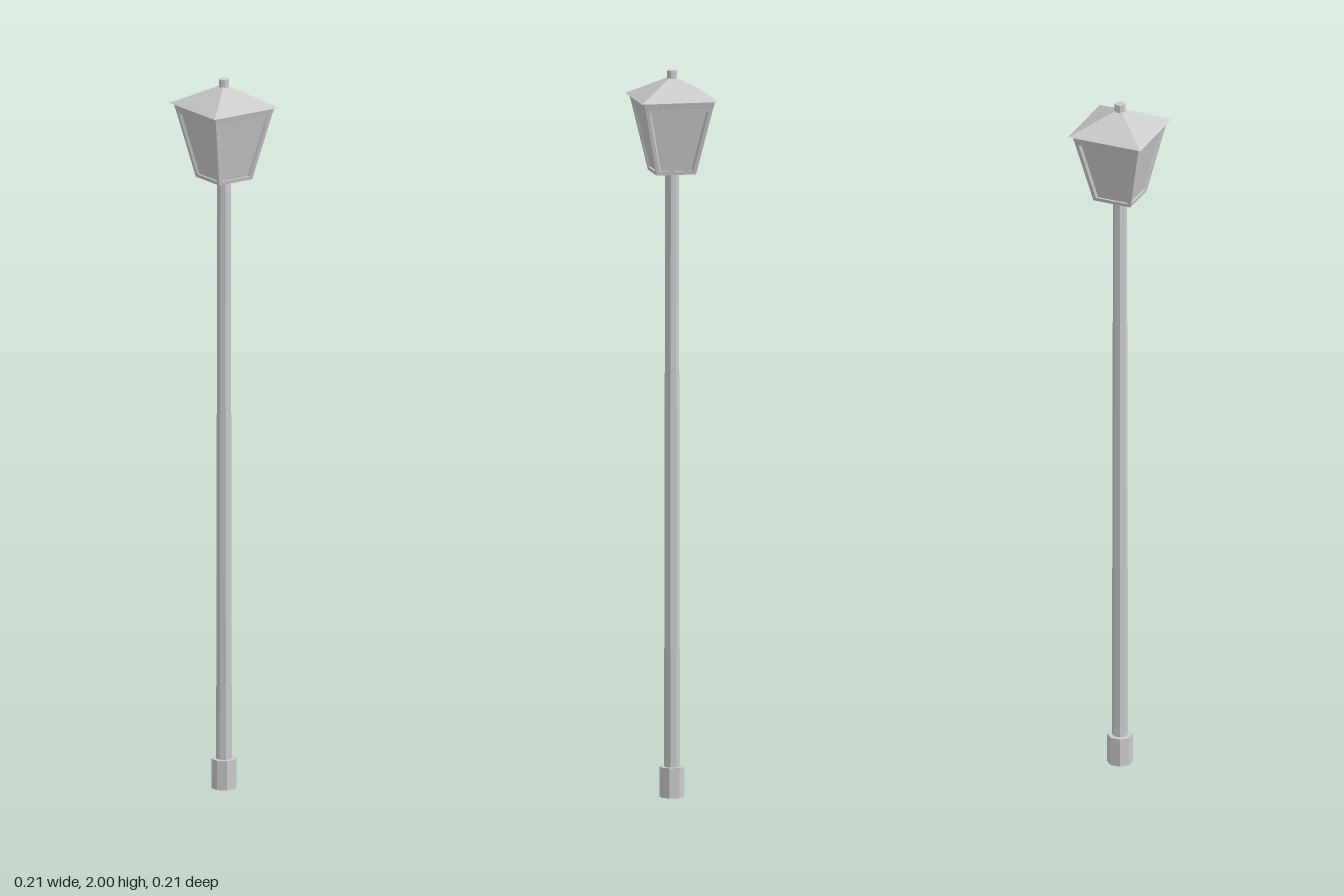
import * as THREE from 'three';

export function createModel() {
  const model = new THREE.Group();
  const grey = new THREE.MeshStandardMaterial({ color: 0xcccccc, flatShading: true });

  const add = (name, geometry, y = 0) => {
    const mesh = new THREE.Mesh(geometry, grey);
    mesh.name = name;
    mesh.position.y = y;
    model.add(mesh);
    return mesh;
  };

  // Solid of revolution-like section from y0 to y1, flats facing the axes
  const section = (name, r0, r1, y0, y1, sides = 8) => {
    const g = new THREE.CylinderGeometry(r1, r0, y1 - y0, sides);
    g.rotateY(Math.PI / sides);
    return add(name, g, (y0 + y1) / 2);
  };

  // Square section given by half widths
  const square = (name, h0, h1, y0, y1) =>
    section(name, h0 * Math.SQRT2, h1 * Math.SQRT2, y0, y1, 4);

  // Octagonal foot and slightly tapered post
  section('base', 0.035, 0.035, 0, 0.083);
  section('post', 0.022, 0.019, 0.083, 1.732);

  // Lantern body: half width grows linearly with height
  const y0 = 1.72, y1 = 1.906, h0 = 0.055, h1 = 0.094;
  const half = (y) => h0 + ((h1 - h0) * (y - y0)) / (y1 - y0);
  const inset = 0.006;
  const yFloor = y0 + 0.006;
  square('lanternPanes', half(yFloor) - inset, h1 - inset, yFloor, y1);

  // Trapezoid frame with a window, leaned outward and mitred at the corners
  const trapezoid = (Type, bottom, top, border) => new Type([
    new THREE.Vector2(-half(bottom) + border, bottom),
    new THREE.Vector2(half(bottom) - border, bottom),
    new THREE.Vector2(half(top) - border, top),
    new THREE.Vector2(-half(top) + border, top),
  ]);
  const outline = trapezoid(THREE.Shape, y0, y1, 0);
  outline.holes.push(trapezoid(THREE.Path, y0 + 0.01, y1 - 0.008, 0.01));
  const depth = 0.009;
  const frame = new THREE.ExtrudeGeometry(outline, { depth, bevelEnabled: false });
  const p = frame.attributes.position;
  for (let i = 0; i < p.count; i++) {
    const h = half(p.getY(i));
    const z = h + p.getZ(i) - depth;
    p.setX(i, (p.getX(i) * z) / h);
    p.setZ(i, z);
  }
  frame.computeVertexNormals();
  ['front', 'left', 'back', 'right'].forEach((side, i) => {
    add(side + 'LanternFrame', frame).rotation.y = (i * Math.PI) / 2;
  });

  // Rim, overhanging pyramid roof and finial
  square('roofRim', 0.094, 0.099, y1, 1.925);
  square('roof', 0.107, 0.006, 1.925, 1.982);
  section('finial', 0.0145, 0.0145, 1.976, 2);

  return model;
}
